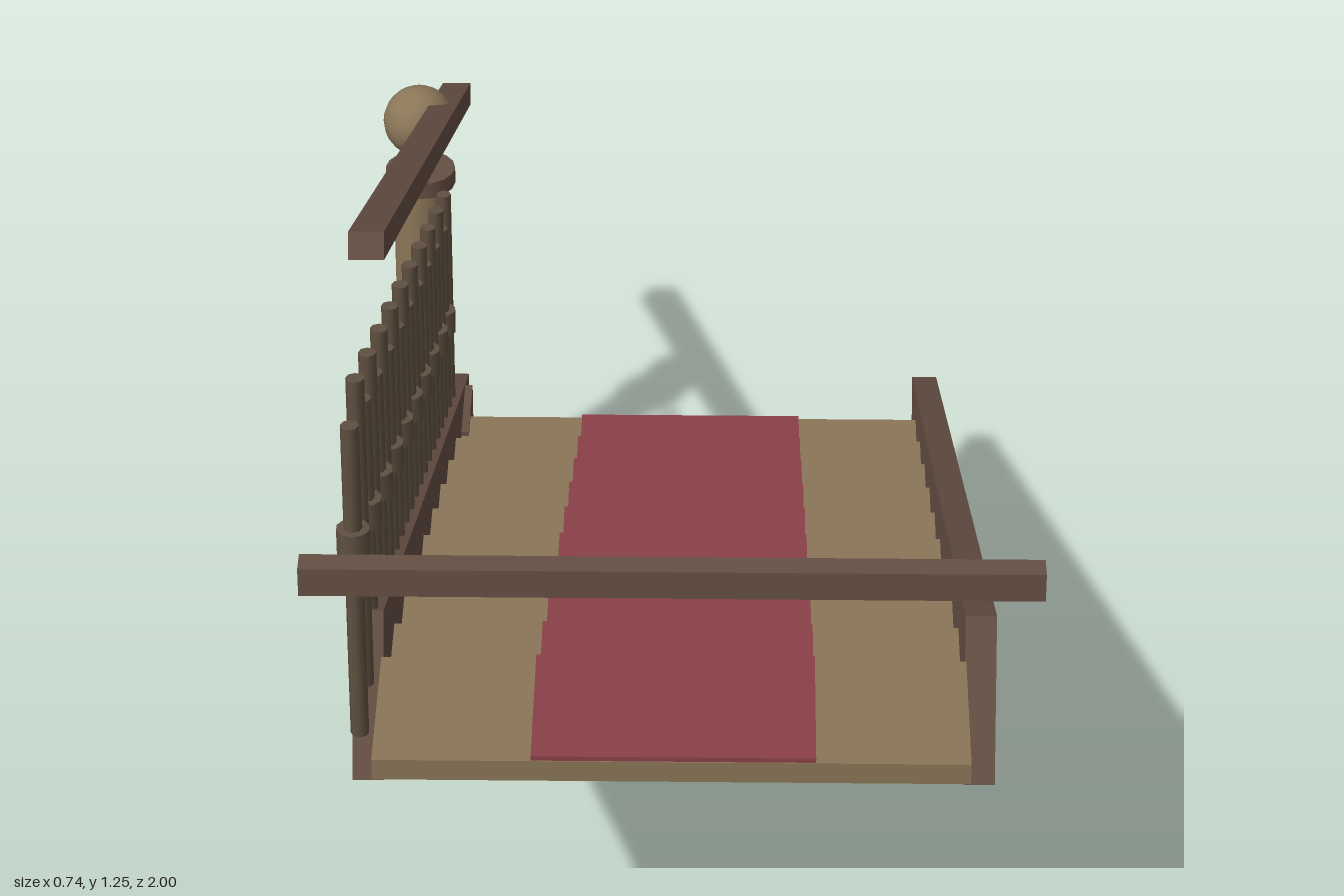
import * as THREE from 'three';

const TAN = 0x8b7658, BROWN = 0x665044, DARK = 0x5f5040, RED = 0x8b4048;
const mats = {};
const mat = (color) => (mats[color] ??= new THREE.MeshStandardMaterial({ color }));

export function createModel() {
  const root = new THREE.Group();

  function add(name, geo, color, x, y, z, parent = root) {
    const m = new THREE.Mesh(geo, mat(color));
    m.name = name;
    m.position.set(x, y, z);
    parent.add(m);
    return m;
  }
  const box = (w, h, d) => new THREE.BoxGeometry(w, h, d);
  const cyl = (r, h, n) => new THREE.CylinderGeometry(r, r, h, n);

  const STEPS = 10, RISE = 0.0745, RUN = 0.168;
  const FRONT = -0.7, FIRST_TOP = 0.195, DEPTH = 0.175;
  const THICK = 0.023, WIDTH = 0.578, MID = 0.0165, RAIL_X = -0.286;
  const SLOPE = Math.atan2(0.745, 1.65);

  // Steps: tread, carpet strip, riser and two balusters each
  const balusterGeo = cyl(0.009, 0.352, 8);
  const collarGeo = cyl(0.0165, 0.03, 10);
  for (let i = 0; i < STEPS; i++) {
    const step = new THREE.Group();
    step.name = `step${i + 1}`;
    step.position.set(0, FIRST_TOP + i * RISE, FRONT + i * RUN);
    root.add(step);

    add('tread', box(WIDTH, THICK, DEPTH), TAN, MID, -THICK / 2, DEPTH / 2, step);
    add('carpet', box(0.275, 0.005, DEPTH - 0.002), RED, MID + 0.002, 0.0025, DEPTH / 2, step);
    const riserH = RISE - THICK;
    add('riser', box(WIDTH - 0.004, riserH, 0.018), BROWN, MID, -THICK - riserH / 2, 0.017, step);

    add('baluster', balusterGeo, DARK, RAIL_X, 0.176, 0.045, step);
    add('baluster', balusterGeo, DARK, RAIL_X, 0.176, 0.129, step);
    add('balusterCollar', collarGeo, DARK, RAIL_X, 0.222, 0.129, step);
  }

  // Sloping side boards
  for (const x of [RAIL_X, 0.32]) {
    const s = add('stringer', box(0.031, 0.17, 1.81), BROWN, x, 0.455, 0);
    s.rotation.x = -SLOPE;
  }

  // Sloping handrail and level landing rail
  const rail = add('handrail', box(0.035, 0.028, 1.815), BROWN, RAIL_X, 0.872, -0.17);
  rail.rotation.x = -SLOPE;
  add('landingRail', box(0.705, 0.03, 0.026), BROWN, 0.017, 1.077, 0.984);

  // Newel post with base, cap and ball finial
  const newel = new THREE.Group();
  newel.name = 'newelPost';
  newel.position.set(-0.317, 0, -0.71);
  root.add(newel);
  add('newelBase', box(0.112, 0.08, 0.112), BROWN, 0, 0.161, 0, newel);
  add('newelShaft', cyl(0.034, 0.335, 16), TAN, 0, 0.367, 0, newel);
  add('newelCap', cyl(0.043, 0.021, 16), BROWN, 0, 0.543, 0, newel);
  add('newelBall', new THREE.SphereGeometry(0.044, 20, 14), TAN, 0, 0.62, 0, newel);

  return root;
}
